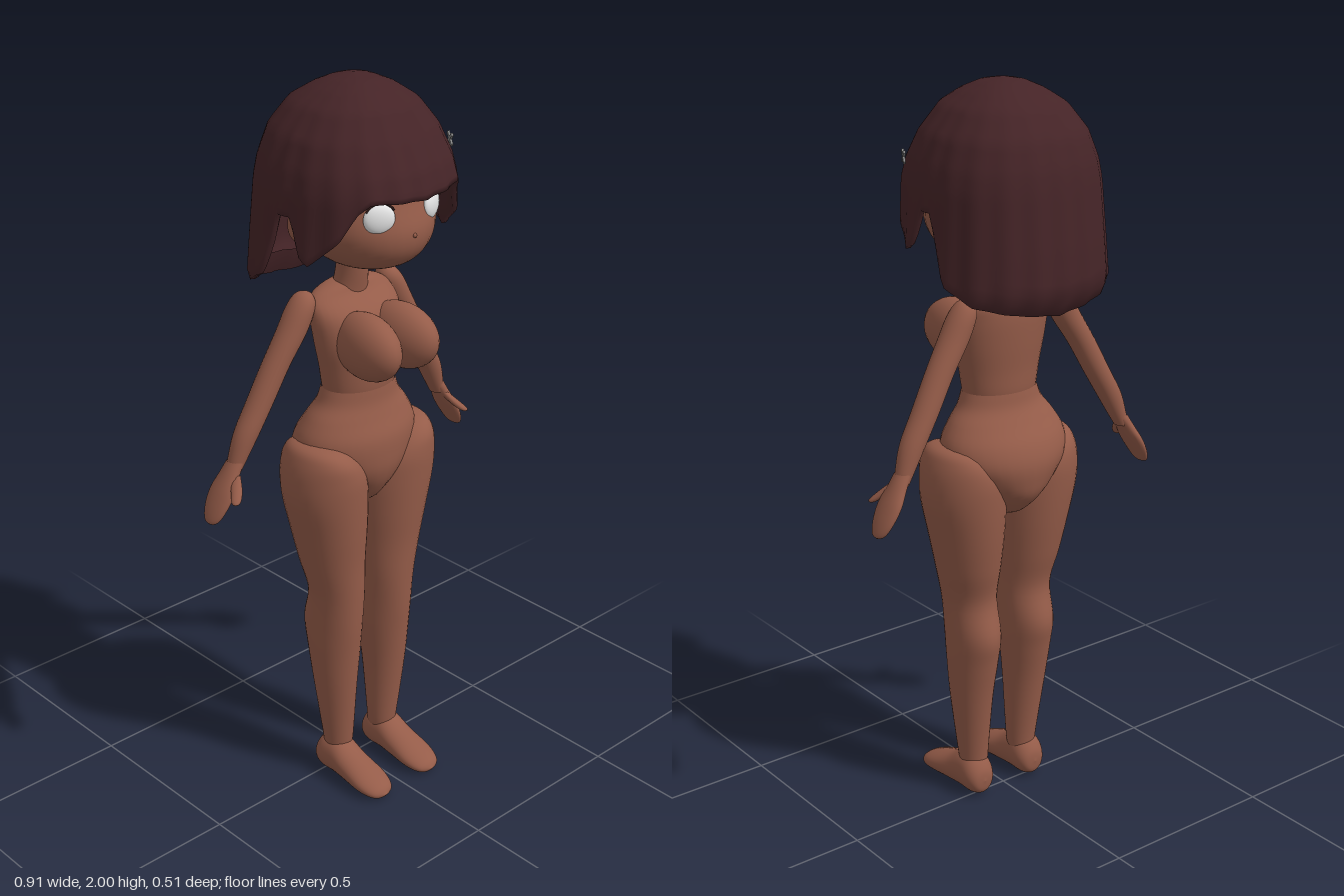
import * as THREE from 'three';

const skin = new THREE.MeshStandardMaterial({ color: 0x955c49 });
skin.name = 'skin';
const hairMat = new THREE.MeshStandardMaterial({ color: 0x452427, side: THREE.DoubleSide });
hairMat.name = 'hair';
const eyeWhite = new THREE.MeshStandardMaterial({ color: 0xe6e6e6 });
eyeWhite.name = 'eyeWhite';
const dark = new THREE.MeshStandardMaterial({ color: 0x2a1614 });
dark.name = 'lash';
const clipGrey = new THREE.MeshStandardMaterial({ color: 0x858585 });
clipGrey.name = 'clipGrey';

// Closed-loop surface: point(i, j) gives row i (bottom to top) and column j
function surface(rows, cols, point) {
  const pos = [], idx = [];
  for (let i = 0; i < rows; i++) {
    for (let j = 0; j < cols; j++) pos.push(...point(i, j));
  }
  for (let i = 0; i < rows - 1; i++) {
    for (let j = 0; j < cols; j++) {
      const a = i * cols + j, b = i * cols + (j + 1) % cols;
      idx.push(a, b, b + cols, a, b + cols, a + cols);
    }
  }
  const g = new THREE.BufferGeometry();
  g.setAttribute('position', new THREE.Float32BufferAttribute(pos, 3));
  g.setIndex(idx);
  g.computeVertexNormals();
  return g;
}

// Smooth loft through rings [x, y, z, radiusX, radiusZ], listed bottom to top
function loft(rings, side = 1, cols = 32) {
  const curve = (f) => new THREE.CatmullRomCurve3(rings.map(f), false, 'catmullrom', 0.5);
  const centre = curve((r) => new THREE.Vector3(r[0] * side, r[1], r[2]));
  const radius = curve((r) => new THREE.Vector3(r[3], r[4], 0));
  const rows = (rings.length - 1) * 5 + 1;
  return surface(rows, cols, (i, j) => {
    const c = centre.getPoint(i / (rows - 1)), r = radius.getPoint(i / (rows - 1));
    const a = (j / cols) * Math.PI * 2;
    return [c.x + Math.max(r.x, 0.0005) * Math.sin(a), c.y, c.z + Math.max(r.y, 0.0005) * Math.cos(a)];
  });
}

// Linear lookup in rows [key, values...]
function lookup(table, key, n) {
  let k = 0;
  while (k < table.length - 2 && key > table[k + 1][0]) k++;
  const [p, q] = [table[k], table[k + 1]];
  return THREE.MathUtils.lerp(p[n], q[n], THREE.MathUtils.clamp((key - p[0]) / (q[0] - p[0]), 0, 1));
}

// Depth below crown -> half width, front reach, back reach
const hairProfile = [
  [0, 0, 0, 0], [0.01, 0.055, 0.06, 0.055], [0.03, 0.1, 0.105, 0.1], [0.064, 0.15, 0.155, 0.155],
  [0.13, 0.2, 0.2, 0.203], [0.2, 0.226, 0.238, 0.226], [0.25, 0.236, 0.253, 0.234],
  [0.4, 0.246, 0.25, 0.249], [0.5, 0.254, 0.24, 0.255], [0.56, 0.245, 0.22, 0.225]];
// Angle from the front -> height of the hem
const hairHem = [
  [0, 1.735], [0.62, 1.745], [0.74, 1.72], [0.9, 1.65], [1.2, 1.58], [1.32, 1.6], [1.46, 1.69],
  [1.63, 1.69], [1.74, 1.6], [1.86, 1.52], [2.2, 1.475], [2.7, 1.45], [3.15, 1.435]];

function hairGeometry() {
  const rows = 34, cols = 120;
  return surface(rows, cols, (i, j) => {
    const a = (j / cols) * Math.PI * 2;
    const hem = lookup(hairHem, Math.min(a, Math.PI * 2 - a), 1);
    // first two rows form the turned-in rim
    const v = i < 2 ? 1 : 1 - (i - 2) / (rows - 3);
    const depth = (2 - hem) * Math.pow(v, 1.6);
    const s = Math.sin(a), c = Math.cos(a);
    const square = Math.pow(Math.abs(s) ** 2.4 + Math.abs(c) ** 2.4, -1 / 2.4);
    const k = square * (1 + 0.012 * v * Math.cos(20 * a)) * (i === 0 ? 0.88 : i === 1 ? 0.95 : 1);
    return [s * k * lookup(hairProfile, depth, 1), 2 - depth + (i === 0 ? 0.06 : 0),
      c * k * lookup(hairProfile, depth, c > 0 ? 2 : 3)];
  });
}

export function createModel() {
  const model = new THREE.Group();
  const add = (name, geometry, material = skin) => {
    const m = new THREE.Mesh(geometry, material);
    m.name = name;
    model.add(m);
    return m;
  };
  const ball = (name, p, r, material = skin) => {
    const m = add(name, new THREE.SphereGeometry(1, 28, 18), material);
    m.position.set(...p);
    m.scale.set(...r);
    return m;
  };

  // Head and neck
  add('head', loft([
    [0, 1.525, 0.06, 0, 0], [0, 1.54, 0.06, 0.09, 0.095], [0, 1.58, 0.05, 0.145, 0.155],
    [0, 1.64, 0.035, 0.18, 0.185], [0, 1.72, 0.015, 0.188, 0.185], [0, 1.82, 0, 0.17, 0.18],
    [0, 1.91, 0, 0.11, 0.11], [0, 1.95, 0, 0, 0]]));
  add('neck', loft([
    [0, 1.4, -0.02, 0.07, 0.045], [0, 1.44, -0.015, 0.05, 0.045], [0, 1.5, -0.005, 0.041, 0.044],
    [0, 1.58, 0, 0.042, 0.045]]));
  ball('nose', [0, 1.637, 0.219], [0.006, 0.006, 0.006]);

  // Hair and crossed clip
  add('hair', hairGeometry(), hairMat);
  for (const t of [-1, 1]) {
    const bar = add('hairClip', new THREE.BoxGeometry(0.006, 0.042, 0.008), clipGrey);
    bar.position.set(0.228, 1.81, 0.11);
    bar.rotation.set(t * 0.85, 1.1 - Math.PI / 2, 0, 'YXZ');
  }

  // Torso and pelvis
  add('torso', loft([
    [0, 1.15, 0.018, 0.1, 0.07], [0, 1.19, 0.018, 0.108, 0.08], [0, 1.25, 0.018, 0.118, 0.084],
    [0, 1.32, 0.015, 0.132, 0.088], [0, 1.39, 0.003, 0.138, 0.08], [0, 1.435, -0.02, 0.125, 0.052],
    [0, 1.46, -0.022, 0.07, 0.035], [0, 1.465, -0.022, 0, 0]]));
  add('pelvis', loft([
    [0, 0.83, 0, 0, 0], [0, 0.86, 0, 0.04, 0.07], [0, 0.91, -0.005, 0.09, 0.115],
    [0, 0.96, -0.003, 0.145, 0.133], [0, 1.01, -0.002, 0.18, 0.137], [0, 1.06, 0.004, 0.182, 0.128],
    [0, 1.11, 0.011, 0.156, 0.104], [0, 1.15, 0.016, 0.125, 0.087], [0, 1.19, 0.018, 0.109, 0.081]]));

  for (const s of [1, -1]) {
    const side = s > 0 ? 'left' : 'right';

    // Face details
    ball(side + 'Ear', [s * 0.19, 1.65, 0], [0.018, 0.04, 0.028]);
    const eye = ball(side + 'Eye', [s * 0.088, 1.69, 0.185], [0.041, 0.038, 0.016], eyeWhite);
    eye.rotation.y = s * 0.42;
    const lash = add(side + 'Lash', new THREE.TorusGeometry(0.041, 0.003, 6, 20, 2.1), dark);
    lash.position.set(s * 0.089, 1.69, 0.189);
    lash.rotation.set(0, s * 0.42, 0.52);

    // Chest
    const chest = ball(side + 'Chest', [s * 0.06, 1.328, 0.115], [0.064, 0.088, 0.118]);
    chest.rotation.y = s * 0.08;

    // Leg
    add(side + 'Leg', loft([
      [0.085, 0.08, 0.025, 0.036, 0.04], [0.085, 0.12, 0.028, 0.042, 0.043],
      [0.092, 0.3, 0.025, 0.057, 0.065], [0.092, 0.42, 0.02, 0.066, 0.082],
      [0.092, 0.5, 0.018, 0.069, 0.092], [0.093, 0.6, 0.032, 0.072, 0.083],
      [0.102, 0.7, 0.024, 0.086, 0.096], [0.11, 0.8, 0.02, 0.1, 0.11],
      [0.12, 0.9, 0.018, 0.112, 0.12], [0.127, 0.97, 0.018, 0.106, 0.122],
      [0.142, 1.02, 0.02, 0.08, 0.11], [0.155, 1.05, 0.02, 0.048, 0.075],
      [0.16, 1.062, 0.02, 0, 0]], s));

    // Foot: a loft along z, tipped forward
    const foot = add(side + 'Foot', loft([
      [0, -0.035, -0.05, 0, 0], [0, -0.028, -0.05, 0.03, 0.035], [0, 0, -0.06, 0.046, 0.058],
      [0, 0.045, -0.062, 0.047, 0.06], [0, 0.1, -0.047, 0.05, 0.044], [0, 0.17, -0.032, 0.052, 0.03],
      [0, 0.215, -0.022, 0.036, 0.018], [0, 0.232, -0.018, 0, 0]]));
    foot.rotation.x = Math.PI / 2;
    foot.position.x = s * 0.09;

    // Arm with hand and thumb
    add(side + 'Arm', loft([
      [0.368, 1.02, -0.055, 0.018, 0.022], [0.352, 1.06, -0.052, 0.027, 0.027],
      [0.325, 1.12, -0.048, 0.036, 0.033], [0.285, 1.19, -0.044, 0.038, 0.035],
      [0.235, 1.28, -0.038, 0.04, 0.036], [0.185, 1.36, -0.032, 0.043, 0.039],
      [0.155, 1.42, -0.03, 0.038, 0.038], [0.145, 1.45, -0.03, 0.022, 0.024],
      [0.143, 1.46, -0.03, 0, 0]], s, 24));
    add(side + 'Hand', loft([
      [0.449, 0.893, -0.057, 0, 0], [0.443, 0.903, -0.057, 0.012, 0.024],
      [0.427, 0.935, -0.057, 0.018, 0.039], [0.405, 0.975, -0.056, 0.021, 0.043],
      [0.382, 1.015, -0.055, 0.021, 0.032], [0.36, 1.05, -0.053, 0.023, 0.025]], s, 24));
    add(side + 'Thumb', loft([
      [0.419, 0.962, 0.012, 0, 0], [0.413, 0.969, 0.008, 0.012, 0.012],
      [0.396, 0.99, -0.01, 0.014, 0.016], [0.375, 1.02, -0.038, 0.01, 0.016]], s, 16));
  }
  return model;
}
